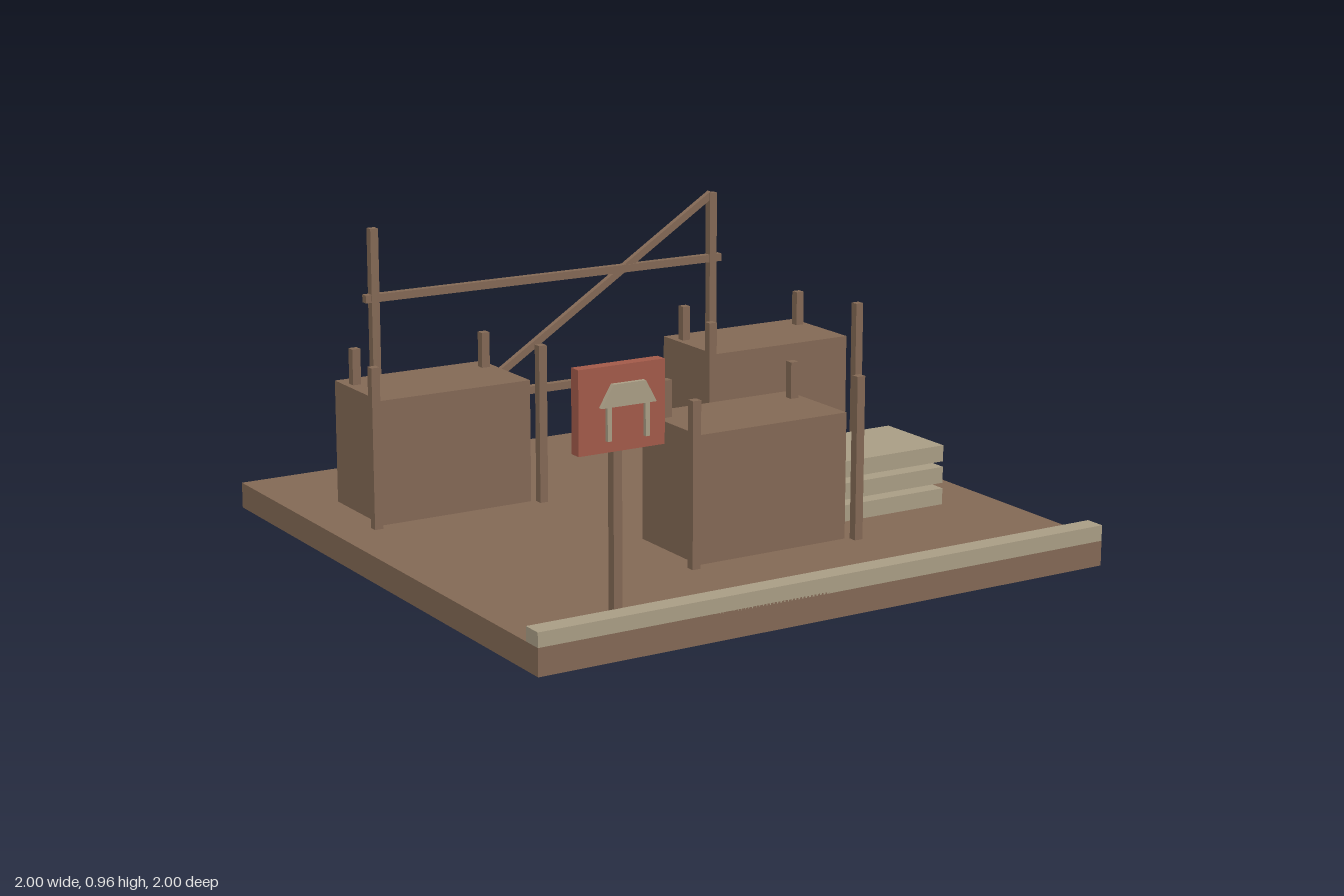
import * as THREE from 'three';

export function createModel() {
  const model = new THREE.Group();
  const mat = (name, color) => {
    const m = new THREE.MeshStandardMaterial({ color });
    m.name = name;
    return m;
  };
  const brown = mat('brown timber', 0x866b57);
  const tan = mat('pale stone', 0xada188);
  const red = mat('red sign', 0xa65c4b);

  // Box given by its min and max on each axis
  const box = (parent, name, material, [x0, x1], [y0, y1], [z0, z1]) => {
    const mesh = new THREE.Mesh(new THREE.BoxGeometry(x1 - x0, y1 - y0, z1 - z0), material);
    mesh.position.set((x0 + x1) / 2, (y0 + y1) / 2, (z0 + z1) / 2);
    mesh.name = name;
    parent.add(mesh);
    return mesh;
  };
  const around = (c, size) => [c - size / 2, c + size / 2];
  const group = (name) => {
    const g = new THREE.Group();
    g.name = name;
    model.add(g);
    return g;
  };

  // Ground slab and front curb
  box(model, 'ground', brown, [-1, 1], [0, 0.085], [-1, 1]);
  box(model, 'curb', tan, [-1, 1], [0.08, 0.13], [0.933, 1]);

  // Three stalls, each a block with four corner posts
  for (const [x, z] of [[-0.612, -0.363], [0.612, -0.363], [0, 0.505]]) {
    const stall = group('stall');
    box(stall, 'stallBlock', brown, around(x, 0.528), [0.117, 0.515], around(z, 0.32));
    for (const s of [-1, 1]) {
      box(stall, 'frontPost', brown, around(x + s * 0.293, 0.028), [0.117, 0.63], around(z + 0.18, 0.028));
      box(stall, 'backPost', brown, around(x + s * 0.23, 0.028), [0.117, 0.63], around(z - 0.083, 0.028));
    }
  }

  // Stack of pale slabs
  const stack = group('slabStack');
  for (let i = 0; i < 3; i++) {
    const y = 0.145 + i * 0.07;
    box(stack, 'slab', tan, [0.23, 0.69], [y, y + 0.052], [0.3, 0.592]);
  }

  // Scaffold: posts, rails and a diagonal brace
  const scaffold = group('scaffold');
  for (const s of [-1, 1]) {
    box(scaffold, 'scaffoldPost', brown, around(s * 0.648, 0.028), [0.112, 0.955], around(-0.697, 0.028));
  }
  for (const y of [0.348, 0.726]) {
    box(scaffold, 'rail', brown, [-0.683, 0.683], around(y, 0.026), around(-0.697, 0.026));
  }
  const a = new THREE.Vector2(-0.645, 0.13), b = new THREE.Vector2(0.645, 0.95);
  const brace = box(scaffold, 'brace', brown, around(0, a.distanceTo(b)), around(0.54, 0.024), around(-0.697, 0.02));
  brace.rotation.z = Math.atan2(b.y - a.y, b.x - a.x);

  // Sign board on a post
  const sign = group('sign');
  box(sign, 'signPost', brown, around(-0.703, 0.028), [0.085, 0.72], [0.904, 0.934]);
  box(sign, 'signBoard', red, [-0.84, -0.562], [0.595, 0.84], [0.915, 0.954]);

  // Raised shelter symbol in front of the board
  const roofShape = new THREE.Shape([
    [-0.79, 0.733], [-0.613, 0.733], [-0.648, 0.797], [-0.752, 0.797],
  ].map(([x, y]) => new THREE.Vector2(x, y)));
  const roof = new THREE.Mesh(new THREE.ExtrudeGeometry(roofShape, { depth: 0.015, bevelEnabled: false }), tan);
  roof.position.z = 0.98;
  roof.name = 'symbolRoof';
  sign.add(roof);
  for (const x of [-0.764, -0.642]) {
    box(sign, 'symbolLeg', tan, around(x, 0.013), [0.637, 0.74], [0.981, 0.994]);
  }

  return model;
}
